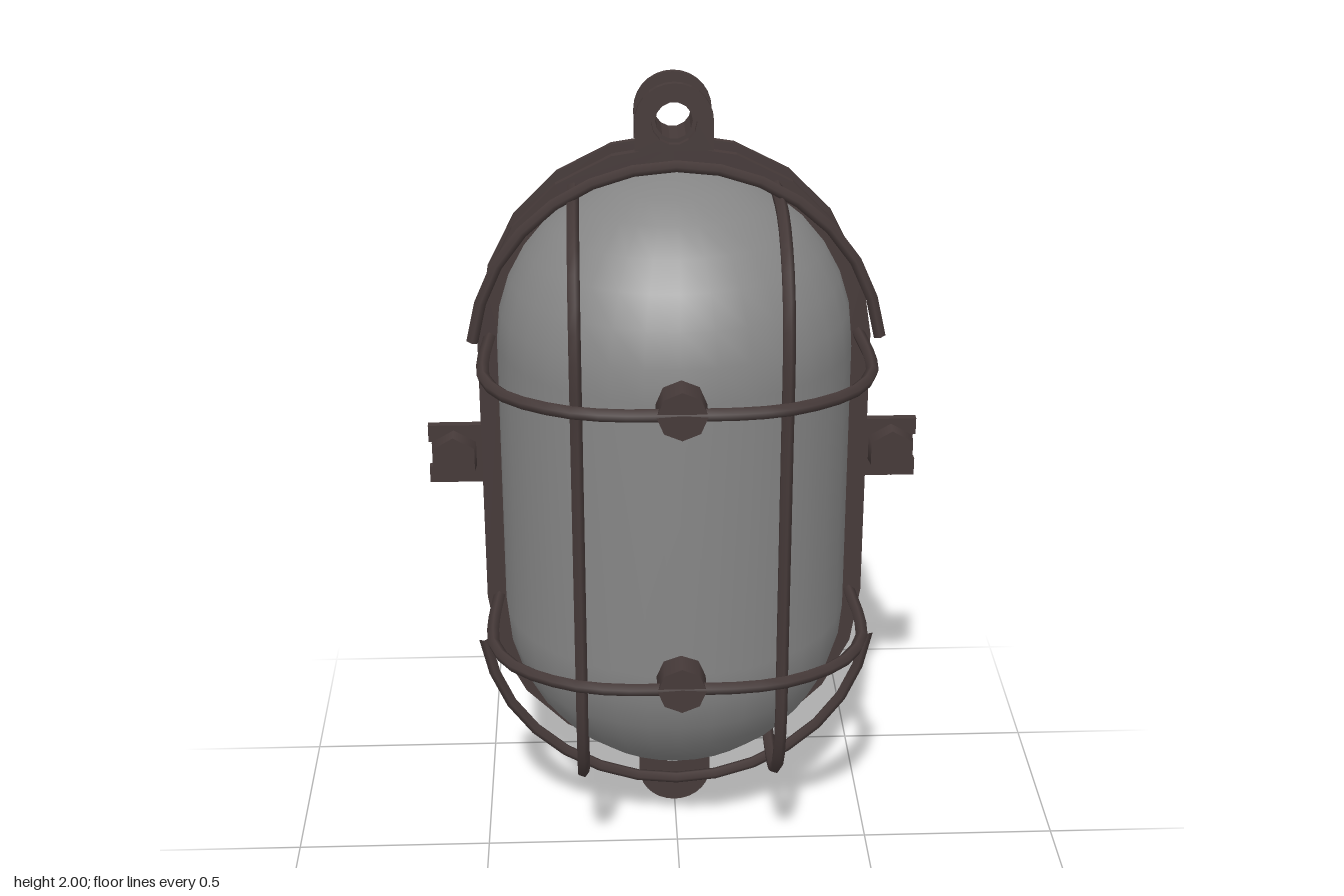
import * as THREE from 'three';

const iron = new THREE.MeshStandardMaterial({ color: 0x463a39 });
iron.name = 'dark iron';
const frosted = new THREE.MeshStandardMaterial({ color: 0x868686 });
frosted.name = 'grey glass';

const MID = 1.0;      // height of the lamp's centre
const STRAIGHT = 0.36; // half length of the straight sides

// Upright stadium outline, r = end radius
function stadium(r, Type = THREE.Shape) {
  const pts = [];
  const n = 10;
  for (const [cy, start] of [[STRAIGHT, 0], [-STRAIGHT, Math.PI]]) {
    for (let i = 0; i <= n; i++) {
      const a = start + (i / n) * Math.PI;
      pts.push(new THREE.Vector2(r * Math.cos(a), cy + r * Math.sin(a)));
    }
  }
  return new Type(pts);
}

export function createModel() {
  const group = new THREE.Group();

  const add = (name, geometry, material = iron, x = 0, y = 0, z = 0) => {
    const mesh = new THREE.Mesh(geometry, material);
    mesh.name = name;
    mesh.position.set(x, y, z);
    group.add(mesh);
    return mesh;
  };
  const slab = (name, shape, z0, z1, x = 0, y = MID) =>
    add(name, new THREE.ExtrudeGeometry(shape, { depth: z1 - z0, bevelEnabled: false, curveSegments: 7 }), iron, x, y, z0);

  // Housing: back plate, recessed wall, front rim
  slab('backPlate', stadium(0.485), -0.32, -0.302);
  slab('housingWall', stadium(0.462), -0.302, -0.215);
  const rim = stadium(0.488);
  rim.holes.push(stadium(0.432, THREE.Path));
  slab('frontRim', rim, -0.215, -0.195);

  // Glass dome: half of a capsule
  const profile = [];
  for (const s of [-1, 1]) {
    for (let i = 0; i <= 8; i++) {
      const a = ((s < 0 ? 8 - i : i) / 8) * Math.PI / 2;
      profile.push(new THREE.Vector2(0.44 * Math.cos(a), s * (STRAIGHT + 0.44 * Math.sin(a))));
    }
  }
  add('glassDome', new THREE.LatheGeometry(profile, 16, -Math.PI / 2, Math.PI), frosted, 0, MID, -0.2);

  // Mounting lugs with a through hole, flanged front and back
  const lugShape = (r, hole, s) => {
    const shape = new THREE.Shape();
    shape.moveTo(-r, -0.07 * s);
    shape.lineTo(r, -0.07 * s);
    shape.lineTo(r, 0);
    shape.absarc(0, 0, r, 0, s * Math.PI, s < 0);
    shape.closePath();
    shape.holes.push(new THREE.Path().absarc(0, 0, hole, 0, Math.PI * 2, true));
    return shape;
  };
  for (const s of [1, -1]) {
    const end = s > 0 ? 'top' : 'bottom';
    const y = MID + s * 0.905;
    slab(end + 'LugBack', lugShape(0.095, 0.045, s), -0.32, -0.305, 0, y);
    slab(end + 'LugCore', lugShape(0.068, 0.045, s), -0.305, -0.212, 0, y);
    slab(end + 'LugFront', lugShape(0.095, 0.055, s), -0.212, -0.195, 0, y);
  }

  // Side ears: notched plate and hex bolt
  for (const s of [1, -1]) {
    const side = s > 0 ? 'left' : 'right';
    const ear = new THREE.Shape([
      [0.44, -0.08], [0.63, -0.08], [0.63, -0.035], [0.575, -0.035],
      [0.575, 0.035], [0.63, 0.035], [0.63, 0.08], [0.44, 0.08],
    ].map(([x, y]) => new THREE.Vector2(s * x, y)));
    slab(side + 'Ear', ear, -0.325, -0.303);
    const bolt = add(side + 'EarBolt', new THREE.CylinderGeometry(0.062, 0.066, 0.042, 6).toNonIndexed(), iron, s * 0.565, MID, -0.283);
    bolt.rotation.x = Math.PI / 2;
  }

  // Wire guard
  const wire = (name, pts, segments = 20, r = 0.016) =>
    add(name, new THREE.TubeGeometry(
      new THREE.CatmullRomCurve3(pts.map((p) => new THREE.Vector3(...p))), segments, r, 5));

  // Horizontal hoops with a boss at the centre
  for (const y of [MID + 0.362, MID - 0.362]) {
    const half = [[0.457, -0.2], [0.467, -0.05], [0.46, 0.07], [0.4, 0.18], [0.26, 0.27], [0.13, 0.295]];
    const pts = [
      ...half.map(([x, z]) => [-x, y, z]),
      [0, y, 0.295],
      ...half.map(([x, z]) => [x, y, z]).reverse(),
    ];
    wire('horizontalGuardBar', pts, 26);
    const boss = add('guardBoss', new THREE.CylinderGeometry(0.06, 0.06, 0.075, 8), iron, 0, y, 0.272);
    boss.rotation.x = Math.PI / 2;
  }

  // Vertical bars bending back to the rim at both ends
  for (const x of [-0.245, 0.245]) {
    const half = [[0.745, -0.2], [0.745, 0.0], [0.715, 0.1], [0.635, 0.2], [0.5, 0.25], [0.25, 0.252]];
    const pts = [
      ...half.map(([y, z]) => [x, MID + y, z]),
      ...half.map(([y, z]) => [x, MID - y, z]).reverse(),
    ];
    wire('verticalGuardBar', pts, 32);
  }

  // Arched bars around both ends
  for (const s of [1, -1]) {
    const pts = [];
    for (let i = 0; i <= 10; i++) {
      const a = 0.1 + (i / 10) * (Math.PI - 0.2);
      pts.push([0.495 * Math.cos(a), MID + s * (STRAIGHT + 0.482 * Math.sin(a)), -0.058]);
    }
    wire(s > 0 ? 'topGuardArch' : 'bottomGuardArch', pts, 14, 0.015);
  }

  return group;
}
